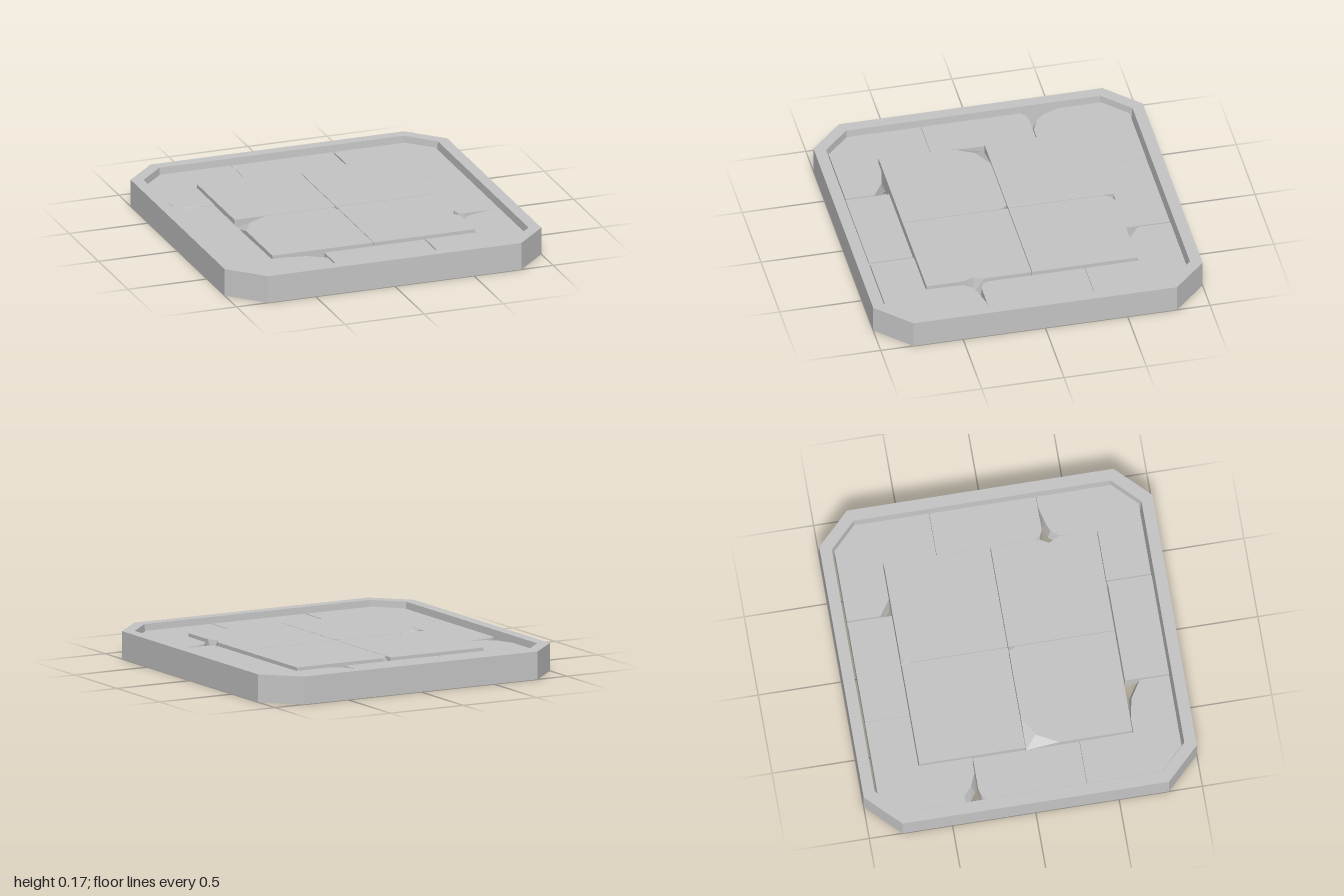
import * as THREE from 'three';

const stone = new THREE.MeshStandardMaterial({ color: 0xc4c4c4 });
stone.name = 'grey stone';

// Adds the two triangles of a quad, skipping collapsed ones.
function quad(out, a, b, c, d) {
  for (const t of [[a, b, c], [a, c, d]]) {
    const area = new THREE.Triangle(...t).getArea();
    if (area > 1e-7) out.push(...t);
  }
}

function meshFrom(name, points) {
  const geometry = new THREE.BufferGeometry().setFromPoints(points);
  geometry.computeVertexNormals();
  const mesh = new THREE.Mesh(geometry, stone);
  mesh.name = name;
  return mesh;
}

// Stone slab. Each outline point is [x, z], or [x, z, topX, topZ, depth]
// where the top edge is chipped back down to the given depth.
function slab(name, outline, y0, y1) {
  let pts = outline.map(([x, z, tx = x, tz = z, d = 0]) => ({ x, z, tx, tz, d }));
  const flat = (list) => list.map((p) => new THREE.Vector2(p.x, -p.z));
  if (THREE.ShapeUtils.area(flat(pts)) < 0) pts = pts.reverse();
  const rings = [
    pts.map((p) => new THREE.Vector3(p.x, y0, p.z)),
    pts.map((p) => new THREE.Vector3(p.x, y1 - p.d, p.z)),
    pts.map((p) => new THREE.Vector3(p.tx, y1, p.tz)),
  ];
  const out = [];
  for (let r = 0; r < 2; r++) {
    pts.forEach((_, i) => {
      const j = (i + 1) % pts.length;
      quad(out, rings[r][i], rings[r][j], rings[r + 1][j], rings[r + 1][i]);
    });
  }
  const cap = (ring) => THREE.ShapeUtils.triangulateShape(
    ring.map((p) => new THREE.Vector2(p.x, -p.z)), []);
  for (const [a, b, c] of cap(rings[2])) out.push(rings[2][a], rings[2][b], rings[2][c]);
  for (const [a, b, c] of cap(rings[0])) out.push(rings[0][a], rings[0][c], rings[0][b]);
  return meshFrom(name, out);
}

// Octagonal border: a four-point section carried around eight corners.
function border() {
  const section = [[1, 0], [1, 0.168], [0.93, 0.168], [0.92, 0]];
  const loops = section.map(([r, y]) => {
    const c = 0.8 - (1 - r) * 0.414;
    return [[r, c], [c, r], [-c, r], [-r, c], [-r, -c], [-c, -r], [c, -r], [r, -c]]
      .map(([x, z]) => new THREE.Vector3(x, y, z));
  });
  const out = [];
  for (let s = 0; s < 4; s++) {
    const a = loops[s], b = loops[(s + 1) % 4];
    for (let i = 0; i < 8; i++) {
      const j = (i + 1) % 8;
      quad(out, a[i], b[i], b[j], a[j]);
    }
  }
  return meshFrom('border', out);
}

// L-shaped corner slab, drawn in the +x +z quadrant and mirrored by signs.
function cornerSlab(name, sx, sz, endA, endB) {
  const outline = [[0.645, 0.645], ...endA, [0.325, 0.913], [0.773, 0.913],
    [0.915, 0.773], ...endB];
  const mirrored = outline.map((p) => p.map((v, i) => (i === 4 ? v : v * (i % 2 ? sz : sx))));
  return slab(name, mirrored, 0.04, 0.13);
}

export function createModel() {
  const group = new THREE.Group();
  group.name = 'floorTile';
  group.add(border());

  // Corner slabs, each with one broken end
  const wholeA = [[0.325, 0.645]];
  const wholeB = [[0.915, 0.322], [0.648, 0.322]];
  group.add(
    cornerSlab('backRightCorner', -1, -1, wholeA, [
      [0.915, 0.4, 0.915, 0.51, 0.085], [0.875, 0.365, 0.875, 0.41, 0.085],
      [0.835, 0.335, 0.82, 0.358, 0.085], [0.74, 0.325], [0.645, 0.325]]),
    cornerSlab('backLeftCorner', 1, -1, [
      [0.42, 0.645], [0.375, 0.652, 0.385, 0.67, 0.085],
      [0.325, 0.69, 0.325, 0.712, 0.085]], wholeB),
    cornerSlab('frontRightCorner', -1, 1, [
      [0.55, 0.645], [0.41, 0.658, 0.43, 0.67, 0.085],
      [0.325, 0.712, 0.325, 0.735, 0.085]], wholeB),
    cornerSlab('frontLeftCorner', 1, 1, wholeA, [
      [0.915, 0.322], [0.85, 0.322], [0.74, 0.336, 0.74, 0.35, 0.085],
      [0.68, 0.352, 0.69, 0.37, 0.085], [0.65, 0.39, 0.65, 0.42, 0.085]]),
  );

  // Side slabs between the corners
  const sides = {
    backSide: [[-0.323, -0.912], [0.315, -0.912], [0.315, -0.645], [-0.323, -0.645]],
    frontSide: [[-0.315, 0.65], [0.317, 0.65], [0.317, 0.915], [-0.315, 0.915]],
    rightSide: [[-0.65, -0.32], [-0.65, 0.32], [-0.915, 0.32], [-0.915, -0.28],
      [-0.915, -0.305, -0.89, -0.305, 0.06], [-0.85, -0.32]],
    leftSide: [[0.915, 0.32], [0.915, -0.32], [0.648, -0.32], [0.648, 0.27],
      [0.655, 0.305, 0.66, 0.3, 0.08], [0.7, 0.32]],
  };
  for (const [name, outline] of Object.entries(sides)) group.add(slab(name, outline, 0.04, 0.13));

  // Raised centre slabs with worn corners
  const g = 0.002, e = 0.64;
  const centre = {
    centreBackRight: [[-e, -e], [-g, -e], [-g, -g], [-e, -g]],
    centreBackLeft: [[e, -e], [e, -g], [g, -g], [g, -0.585],
      [g, -e, 0.025, -0.617, 0.05], [0.06, -e]],
    centreFrontRight: [[-e, e], [-e, 0.2], [-e, g, -0.57, 0.07, 0.05], [-0.45, g],
      [-0.03, g], [-0.013, 0.015, -0.015, 0.02, 0.08], [-g, 0.05], [-g, e]],
    centreFrontLeft: [[g, g], [e, g], [e, 0.29], [0.632, 0.35, 0.61, 0.35, 0.1],
      [e, 0.41], [e, e], [g, e]],
  };
  for (const [name, outline] of Object.entries(centre)) group.add(slab(name, outline, 0.04, 0.149));
  return group;
}
